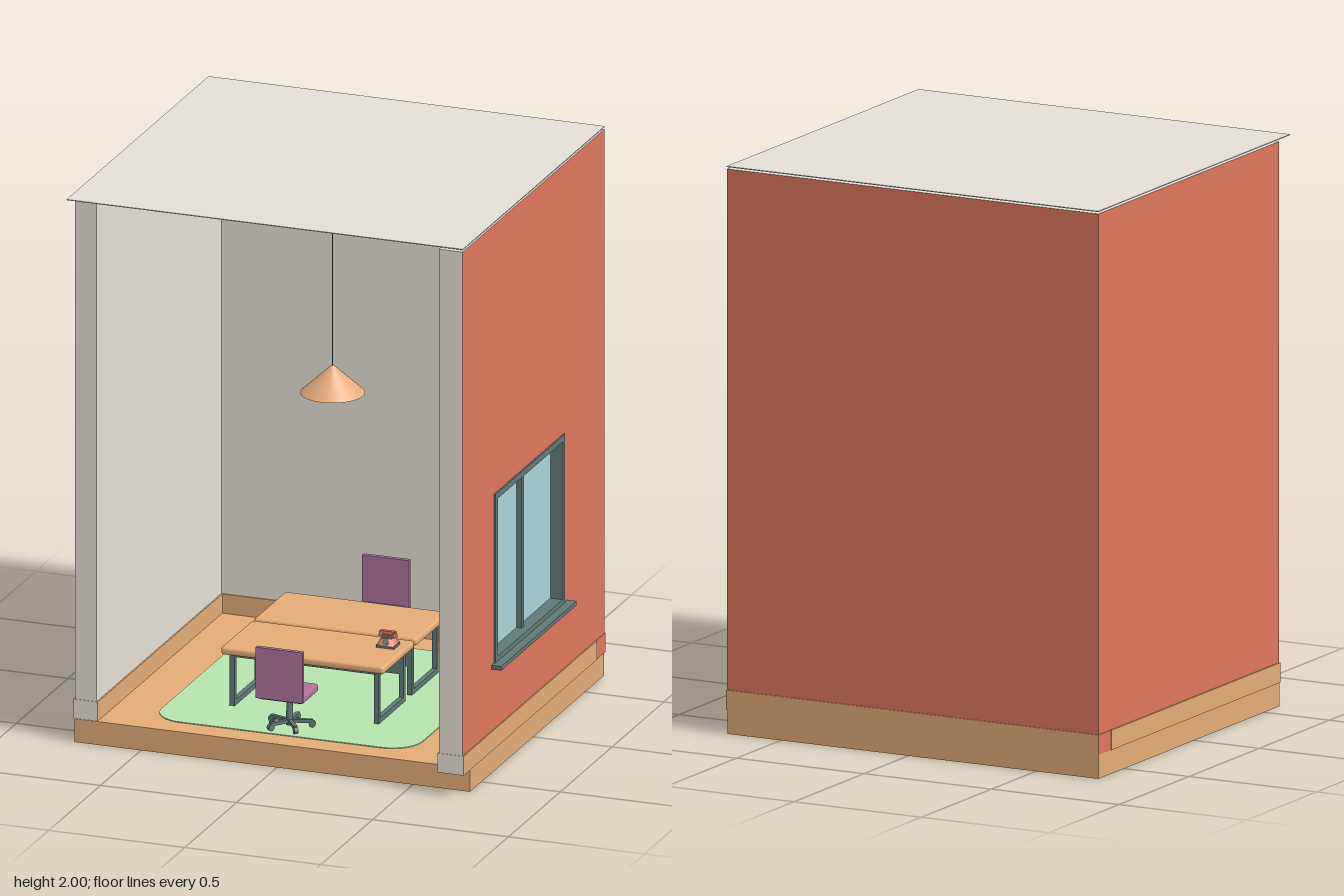
import * as THREE from 'three';

const mat = (name, color) => Object.assign(new THREE.MeshStandardMaterial({ color }), { name });

export function createModel() {
  const model = new THREE.Group();
  model.name = 'officeRoom';

  const plaster = mat('plaster grey', 0xe5dfd6);
  const brick = mat('brick red', 0xe0775d);
  const wood = mat('warm wood', 0xe4ac77);
  const teal = mat('dark teal metal', 0x627a77);
  const glass = mat('window blue', 0xaed4de);
  const purple = mat('chair purple', 0xad739c);
  const green = mat('rug green', 0xb7e4ae);
  const shadeOrange = mat('lamp orange', 0xe6ab7c);
  shadeOrange.side = THREE.DoubleSide;
  const slate = mat('pale slate', 0xb9bbc4);

  const add = (parent, name, geometry, material, x = 0, y = 0, z = 0) => {
    const m = new THREE.Mesh(geometry, material);
    m.name = name;
    m.position.set(x, y, z);
    parent.add(m);
    return m;
  };
  // Box given by its lower and upper limits on each axis
  const box = (parent, name, [x0, x1], [y0, y1], [z0, z1], material) =>
    add(parent, name, new THREE.BoxGeometry(x1 - x0, y1 - y0, z1 - z0), material,
      (x0 + x1) / 2, (y0 + y1) / 2, (z0 + z1) / 2);
  const group = (parent, name) => {
    const g = new THREE.Group();
    g.name = name;
    parent.add(g);
    return g;
  };
  // Horizontal rounded slab centred on x and z, rising from y = 0
  const slab = (w, d, h, r, bevel = 0) => {
    const x = w / 2 - bevel, y = d / 2 - bevel, s = new THREE.Shape();
    s.moveTo(x, y - r);
    s.absarc(x - r, y - r, r, 0, Math.PI / 2);
    s.absarc(-x + r, y - r, r, Math.PI / 2, Math.PI);
    s.absarc(-x + r, -y + r, r, Math.PI, Math.PI * 1.5);
    s.absarc(x - r, -y + r, r, Math.PI * 1.5, Math.PI * 2);
    const g = new THREE.ExtrudeGeometry(s, {
      depth: h - 2 * bevel, bevelEnabled: bevel > 0, bevelSize: bevel,
      bevelThickness: bevel, bevelSegments: 3, curveSegments: 10,
    });
    return g.translate(0, 0, bevel).rotateX(-Math.PI / 2);
  };

  // Floor slab and thin ceiling panel
  box(model, 'floor', [-0.745, 0.71], [0, 0.085], [-0.683, 0.61],
    [wood, wood, wood, slate, wood, wood]);
  box(model, 'ceiling', [-0.745, 0.712], [1.997, 2], [-0.685, 0.685], plaster);

  // Walls: brick outside, plaster inside, plaster on the open ends
  const leftMats = [plaster, brick, plaster, plaster, plaster, brick];
  const rightMats = [brick, plaster, plaster, plaster, plaster, brick];
  const backMats = [brick, brick, plaster, plaster, plaster, brick];
  const H = [0.085, 1.99], X = [0.625, 0.712], openY = [0.39, 1.01], openZ = [-0.29, 0.383];
  box(model, 'backWall', [-0.745, 0.712], H, [-0.683, -0.6], backMats);
  box(model, 'leftOpenWall', [-0.745, -0.665], H, [-0.6, 0.605], leftMats);
  const windowWall = group(model, 'windowWall');
  box(windowWall, 'wallBehindWindow', X, H, [-0.6, openZ[0]], rightMats);
  box(windowWall, 'wallBeforeWindow', X, H, [openZ[1], 0.686], rightMats);
  box(windowWall, 'wallBelowWindow', X, [H[0], openY[0]], openZ, rightMats);
  box(windowWall, 'wallAboveWindow', X, [openY[1], H[1]], openZ, rightMats);

  // Skirting boards wrap both faces of each wall
  const skirt = [0.085, 0.155];
  box(model, 'leftSkirting', [-0.75, -0.66], skirt, [-0.598, 0.607],
    [wood, wood, wood, wood, plaster, wood]);
  box(model, 'rightSkirting', [0.62, 0.716], skirt, [-0.598, 0.688],
    [wood, wood, wood, wood, plaster, wood]);
  box(model, 'backSkirting', [-0.747, 0.714], skirt, [-0.687, -0.595],
    [brick, brick, wood, wood, wood, wood]);

  // Window with deep frame, two panes and sills on both sides
  const win = group(model, 'window');
  const F = [0.617, 0.717], f = 0.023;
  box(win, 'frameTop', F, [openY[1] - f, openY[1]], openZ, teal);
  box(win, 'frameBottom', F, [openY[0], openY[0] + f], openZ, teal);
  for (const [a, b] of [[openZ[0], openZ[0] + f], [openZ[1] - f, openZ[1]]])
    box(win, 'frameSide', F, openY, [a, b], teal);
  box(win, 'mullion', [0.645, 0.69], openY, [0.036, 0.059], teal);
  box(win, 'pane', [0.663, 0.671], openY, openZ, glass);
  box(win, 'sill', [0.575, 0.748], [0.38, 0.395], [-0.32, 0.408], teal);

  // Rug
  add(model, 'rug', slab(0.96, 1.0, 0.003, 0.11), green, -0.02, 0.085, 0.02);

  // A workplace: desk with loop legs and a swivel chair, local z = 0 at the desk seam
  const workplace = (name, deskX) => {
    const w = group(model, name);
    const desk = group(w, 'desk');
    desk.position.x = deskX;
    add(desk, 'deskTop', slab(0.6, 0.305, 0.027, 0.004, 0.009), wood, 0, 0.279, 0.16);
    for (const x of [-0.265, 0.265]) {
      const leg = group(desk, 'deskLeg');
      const lx = [x - 0.009, x + 0.009];
      for (const z of [0.04, 0.28])
        box(leg, 'legPost', lx, [0.09, 0.28], [z - 0.009, z + 0.009], teal);
      for (const y of [0.09, 0.262])
        box(leg, 'legRail', lx, [y, y + 0.018], [0.04, 0.28], teal);
    }
    for (const z of [0.05, 0.27])
      box(desk, 'deskRail', [-0.265, 0.265], [0.264, 0.28], [z - 0.008, z + 0.008], teal);
    box(desk, 'modestyPanel', [-0.255, 0.255], [0.19, 0.265], [0.035, 0.045], teal);

    const chair = group(w, 'chair');
    chair.position.z = 0.42;
    add(chair, 'seat', slab(0.165, 0.16, 0.025, 0.01, 0.006), purple, 0, 0.208, 0.01);
    box(chair, 'backrest', [-0.086, 0.086], [0.216, 0.401], [0.085, 0.102], purple);
    add(chair, 'column', new THREE.CylinderGeometry(0.01, 0.013, 0.115, 12), teal, 0, 0.155, 0);
    for (let i = 0; i < 5; i++) {
      const arm = group(chair, 'baseArm');
      arm.rotation.y = Math.PI / 2 + i * Math.PI * 0.4;
      box(arm, 'spoke', [0, 0.08], [0.106, 0.118], [-0.007, 0.007], teal);
      add(arm, 'castor', new THREE.CylinderGeometry(0.012, 0.012, 0.014, 12).rotateX(Math.PI / 2),
        teal, 0.078, 0.102, 0);
    }
    w.position.set(-0.02, 0, 0.015);
    return w;
  };
  workplace('frontWorkplace', 0.004);
  workplace('backWorkplace', -0.004).rotation.y = Math.PI;

  // Desk telephone: tapered body, cradle and handset
  const phone = group(model, 'telephone');
  phone.position.set(0.218, 0.306, 0.11);
  box(phone, 'phoneBase', [-0.033, 0.033], [0, 0.01], [-0.028, 0.028], teal);
  add(phone, 'phoneBody', new THREE.CylinderGeometry(0.028, 0.044, 0.024, 4)
    .rotateY(Math.PI / 4), brick, 0, 0.021, 0);
  add(phone, 'dial', new THREE.CylinderGeometry(0.012, 0.012, 0.006, 16)
    .rotateX(Math.PI / 3), teal, 0, 0.022, 0.025);
  box(phone, 'cradle', [-0.02, 0.02], [0.032, 0.044], [-0.01, 0.01], teal);
  box(phone, 'handset', [-0.028, 0.028], [0.044, 0.056], [-0.007, 0.007], brick);
  for (const x of [-0.024, 0.024])
    add(phone, 'handsetEnd', new THREE.CylinderGeometry(0.009, 0.01, 0.014, 12), brick, x, 0.043, 0);

  // Pendant lamp
  const lamp = group(model, 'pendantLamp');
  lamp.position.set(-0.02, 0, 0.02);
  add(lamp, 'cord', new THREE.CylinderGeometry(0.0015, 0.0015, 0.73, 8), teal, 0, 1.632, 0);
  add(lamp, 'shade', new THREE.CylinderGeometry(0.004, 0.112, 0.1, 40, 1, true), shadeOrange, 0, 1.22, 0);
  add(lamp, 'bulb', new THREE.SphereGeometry(0.032, 20, 14), slate, 0, 1.186, 0);

  return model;
}
